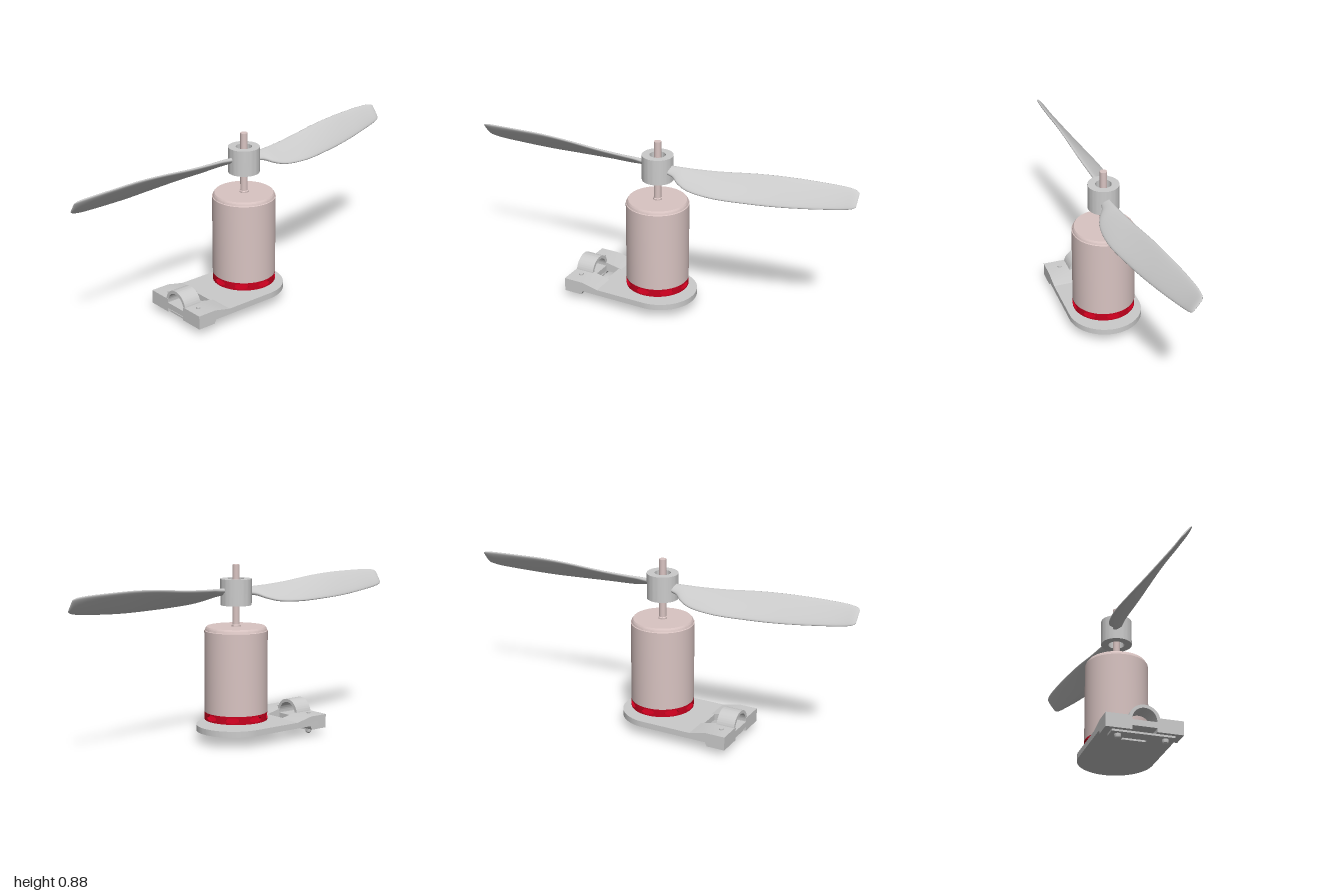
import * as THREE from 'three';
import { toCreasedNormals } from 'three/addons/utils/BufferGeometryUtils.js';
import { ParametricGeometry } from 'three/addons/geometries/ParametricGeometry.js';

const material = (color) => new THREE.MeshStandardMaterial({ color, side: THREE.DoubleSide });
const grey = material(0xcccccc);
const pink = material(0xd9c4c2);
const red = material(0xc8001e);

function add(parent, name, geometry, mat, x = 0, y = 0, z = 0) {
  const mesh = new THREE.Mesh(geometry, mat);
  mesh.name = name;
  mesh.position.set(x, y, z);
  parent.add(mesh);
  return mesh;
}

// Turned part from [radius, height] pairs
function turned(profile, segments = 64) {
  const points = profile.map(([r, y]) => new THREE.Vector2(r, y));
  return toCreasedNormals(new THREE.LatheGeometry(points, segments), 0.5);
}

function polygon(points) {
  return new THREE.Shape(points.map(([x, y]) => new THREE.Vector2(x, y)));
}

function extrude(shape, depth) {
  const geometry = new THREE.ExtrudeGeometry(shape, { depth, bevelEnabled: false, curveSegments: 32 });
  return toCreasedNormals(geometry, 0.4);
}

// Twisted blade lofted between a front edge and a back edge
function bladeGeometry() {
  // x, front z, front y, back z, back y
  const stations = [
    [0.05, 0.03, 0.74, -0.01, 0.765],
    [0.1, 0.04, 0.732, -0.01, 0.768],
    [0.14, 0.066, 0.716, -0.013, 0.77],
    [0.2, 0.086, 0.7, -0.02, 0.772],
    [0.33, 0.09, 0.69, -0.037, 0.78],
    [0.51, 0.06, 0.689, -0.06, 0.798],
    [0.65, 0.03, 0.692, -0.076, 0.806],
    [0.8, -0.005, 0.702, -0.095, 0.807],
    [0.94, -0.04, 0.716, -0.107, 0.804],
    [1.0, -0.053, 0.727, -0.105, 0.798],
  ];
  const front = new THREE.CatmullRomCurve3(stations.map((s) => new THREE.Vector3(s[0], s[2], s[1])));
  const back = new THREE.CatmullRomCurve3(stations.map((s) => new THREE.Vector3(s[0], s[4], s[3])));
  const rows = 72, around = 24, positions = [], index = [];
  const axis = new THREE.Vector3(1, 0, 0);
  for (let i = 0; i <= rows; i++) {
    const t = 1 - (1 - i / rows) ** 1.3;
    const f = front.getPoint(t), b = back.getPoint(t);
    const middle = f.clone().add(b).multiplyScalar(0.5);
    const half = b.clone().sub(f).multiplyScalar(0.5 * (1 - 0.25 * t ** 60));
    const normal = axis.clone().cross(half).normalize();
    const thick = (0.013 - 0.005 * t) * Math.sqrt(Math.max(0, 1 - t ** 40));
    for (let j = 0; j < around; j++) {
      const a = (j / around) * Math.PI * 2, s = Math.sin(a);
      const p = middle.clone().addScaledVector(half, Math.cos(a))
        .addScaledVector(normal, thick * Math.sign(s) * Math.abs(s) ** 0.7);
      positions.push(p.x, p.y, p.z);
      if (i < rows) {
        const k = i * around + j, n = i * around + ((j + 1) % around);
        index.push(k, n, k + around, n, n + around, k + around);
      }
    }
  }
  const geometry = new THREE.BufferGeometry();
  geometry.setAttribute('position', new THREE.Float32BufferAttribute(positions, 3));
  geometry.setIndex(index);
  geometry.computeVertexNormals();
  return geometry;
}

// One eighth of the vented ring: a curved wall with an oval opening
function ventGeometry() {
  const outer = 0.158, inner = 0.146;
  const geometry = new ParametricGeometry((u, v, target) => {
    const row = Math.round(v * 5);
    const c = Math.cos(u * Math.PI * 2), s = Math.sin(u * Math.PI * 2);
    const m = Math.max(Math.abs(c), Math.abs(s));
    const mix = [1, 0.5, 0, 0, 0.5, 1][row];
    const angle = THREE.MathUtils.lerp(0.23 * c, (Math.PI / 8) * (c / m), mix);
    const y = THREE.MathUtils.lerp(0.014 * s, 0.02 * (s / m), mix);
    const r = row < 3 ? outer : inner;
    target.set(r * Math.sin(angle), y, r * Math.cos(angle));
  }, 40, 5);
  return toCreasedNormals(geometry, 0.6);
}

function buildMount() {
  const mount = new THREE.Group();
  mount.name = 'mount';

  // Round-ended plate with a rectangular window
  const plate = new THREE.Shape();
  plate.moveTo(-0.44, -0.188);
  plate.lineTo(0.015, -0.188);
  plate.absarc(0.015, 0, 0.188, -Math.PI / 2, Math.PI / 2, false);
  plate.lineTo(-0.44, 0.188);
  plate.closePath();
  plate.holes.push(polygon([[-0.34, -0.06], [-0.34, 0.06], [-0.265, 0.06], [-0.265, -0.06]]));
  add(mount, 'basePlate', extrude(plate, 0.03), grey, 0, 0.085, 0).rotation.x = Math.PI / 2;

  // Raised pads with ramps, and their screws
  const pad = polygon([[-0.44, 0.035], [-0.345, 0.035], [-0.335, 0.056], [-0.25, 0.056],
    [-0.25, 0.085], [-0.34, 0.105], [-0.44, 0.105]]);
  for (const side of [-1, 1]) {
    add(mount, 'clampPad', extrude(pad, 0.128), grey, 0, 0, side > 0 ? 0.06 : -0.188);
    const screw = turned([[0, 0], [0.008, 0.002], [0.014, 0.008], [0.016, 0.016], [0.016, 0.026],
      [0.011, 0.026], [0.011, 0.112], [0, 0.112]], 20);
    add(mount, 'screw', screw, grey, -0.387, 0, side * 0.115);
  }
  add(mount, 'lowerStrap', new THREE.BoxGeometry(0.066, 0.01, 0.306), grey, -0.387, 0.03, 0);

  // Arched clamp running along x
  const arch = new THREE.Shape();
  arch.moveTo(0.076, 0);
  arch.absarc(0, 0, 0.076, 0, Math.PI, false);
  arch.lineTo(-0.06, 0);
  arch.absarc(0, 0, 0.06, Math.PI, 0, true);
  arch.closePath();
  add(mount, 'clampArch', extrude(arch, 0.095), grey, -0.437, 0.09, 0).rotation.y = Math.PI / 2;
  return mount;
}

function buildMotor() {
  const motor = new THREE.Group();
  motor.name = 'motor';
  add(motor, 'motorCan', turned([[0, 0.15], [0.158, 0.15], [0.158, 0.558], [0.154, 0.56], [0.152, 0.57],
    [0.146, 0.578], [0.022, 0.578], [0.022, 0.585], [0.018, 0.588], [0, 0.588]]), pink);
  add(motor, 'shaft', new THREE.CylinderGeometry(0.018, 0.018, 0.305, 32), pink, 0, 0.7325, 0);

  // Vented ring and floor
  const vent = ventGeometry();
  for (let i = 0; i < 8; i++) add(motor, 'ventRing', vent, red, 0, 0.13, 0).rotation.y = (i * Math.PI) / 4;
  add(motor, 'motorFloor', turned([[0, 0.1], [0.018, 0.1], [0.024, 0.11], [0.156, 0.11],
    [0.156, 0.114], [0, 0.114]]), red);
  return motor;
}

function buildPropeller() {
  const propeller = new THREE.Group();
  propeller.name = 'propeller';
  // Hub recessed at both ends
  add(propeller, 'hub', turned([[0.018, 0.73], [0.04, 0.73], [0.04, 0.685], [0.078, 0.685],
    [0.078, 0.815], [0.04, 0.815], [0.04, 0.77], [0.018, 0.77]]), grey);
  const blade = bladeGeometry();
  for (const angle of [0, Math.PI - 0.065]) add(propeller, 'blade', blade, grey).rotation.y = angle;
  return propeller;
}

export function createModel() {
  const model = new THREE.Group();
  model.name = 'motorWithPropeller';
  model.add(buildMount(), buildMotor(), buildPropeller());
  return model;
}
